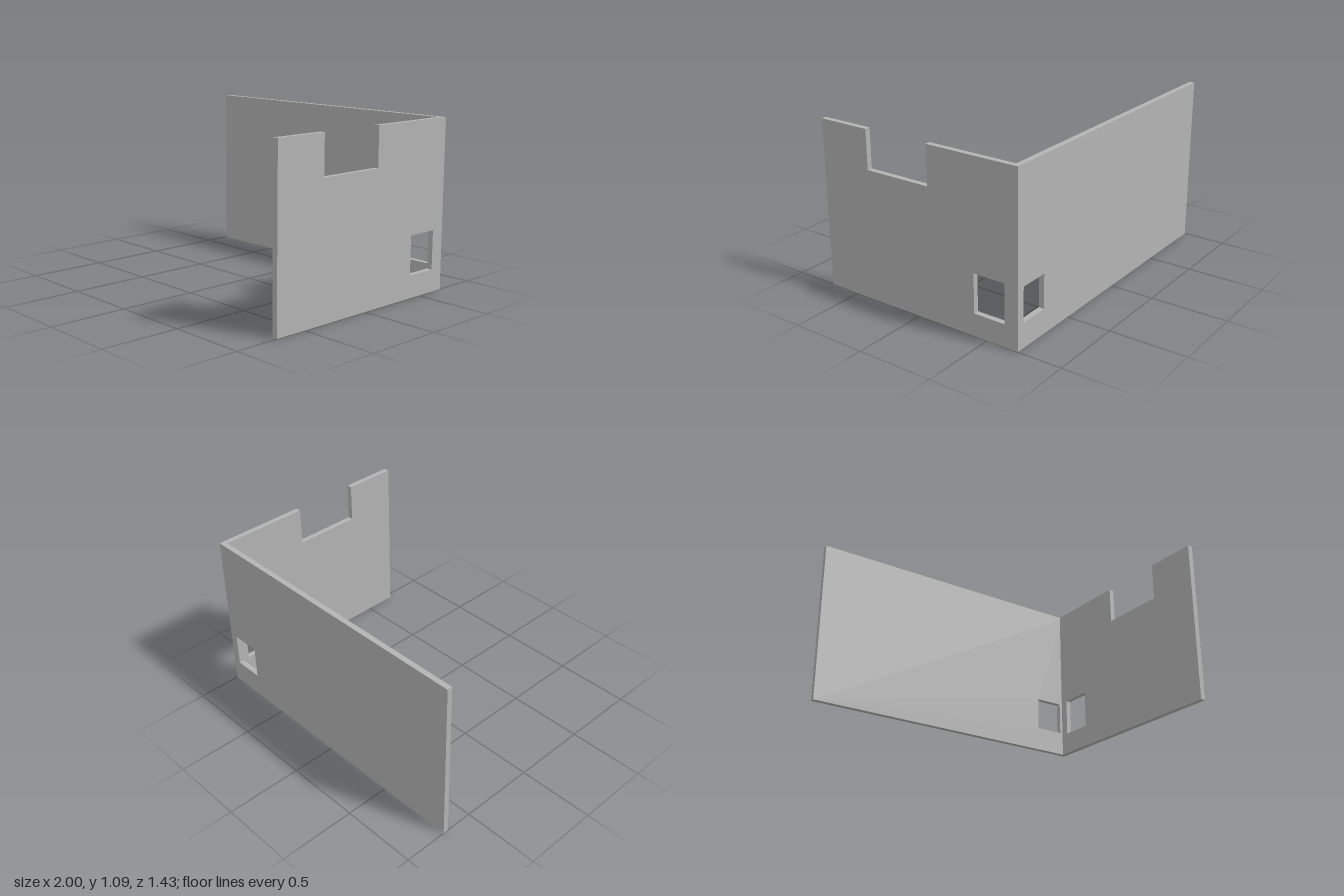
import * as THREE from 'three';

const T = 0.035;      // wall thickness
const H = 1.09;       // wall height
const D = 0.713;      // half depth

// Closed outline from a list of [x, y] corners
const outline = (Type, corners) => new Type(corners.map(([x, y]) => new THREE.Vector2(x, y)));

// Rectangular opening
const opening = (x0, x1, y0, y1) =>
  outline(THREE.Path, [[x0, y0], [x0, y1], [x1, y1], [x1, y0]]);

function wall(name, corners, hole, material) {
  const shape = outline(THREE.Shape, corners);
  shape.holes.push(hole);
  const geometry = new THREE.ExtrudeGeometry(shape, { depth: T, bevelEnabled: false });
  const mesh = new THREE.Mesh(geometry, material);
  mesh.name = name;
  return mesh;
}

export function createModel() {
  const group = new THREE.Group();
  group.name = 'cornerWalls';
  const grey = new THREE.MeshStandardMaterial({ color: 0xb3b3b3 });
  grey.name = 'plain grey';

  // Long back wall with a small window near the corner
  const back = wall('backWall',
    [[-1, 0], [1, 0], [1, H], [-1, H]],
    opening(0.748, 0.945, 0.16, 0.38), grey);
  back.position.z = -D;

  // Side wall, drawn with x = -z, notched along the top edge
  const side = wall('sideWall',
    [[-D, 0], [D - T, 0], [D - T, H], [0.09, H], [0.09, 0.84], [-0.36, 0.84], [-0.36, H], [-D, H]],
    opening(0.41, 0.623, 0.145, 0.395), grey);
  side.geometry.rotateY(Math.PI / 2);
  side.position.x = 1 - T;

  group.add(back, side);
  return group;
}
